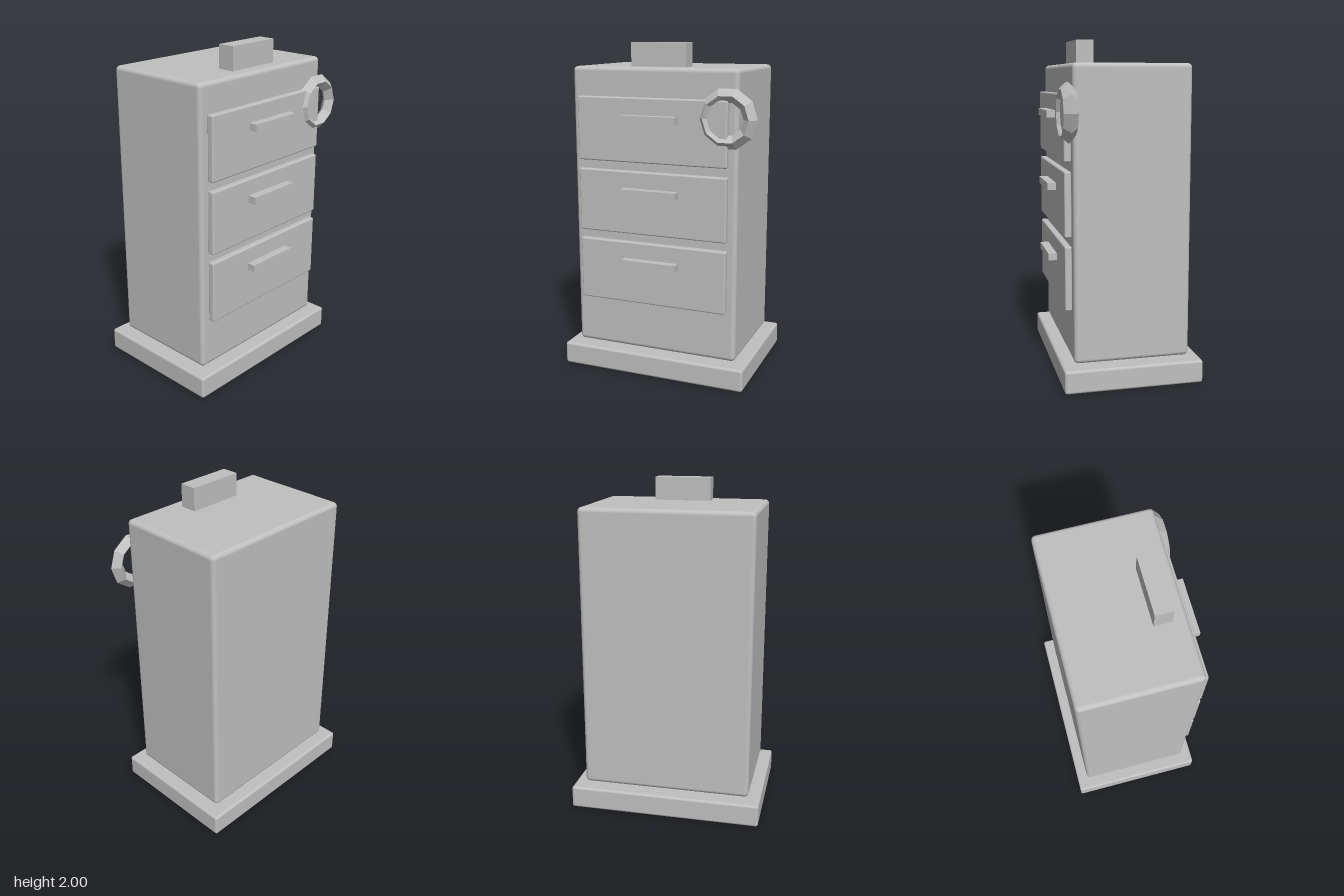
import * as THREE from 'three';
import { RoundedBoxGeometry } from 'three/addons/geometries/RoundedBoxGeometry.js';

export function createModel() {
  const group = new THREE.Group();
  group.name = 'drawerCabinet';
  const grey = new THREE.MeshStandardMaterial({ color: 0xc0c0c0 });
  grey.name = 'grey';

  // Box spanning two corners; a radius above zero rounds its edges
  function box(name, [x0, y0, z0], [x1, y1, z1], radius = 0) {
    const size = [x1 - x0, y1 - y0, z1 - z0];
    const geometry = radius
      ? new RoundedBoxGeometry(...size, 3, radius)
      : new THREE.BoxGeometry(...size);
    const mesh = new THREE.Mesh(geometry, grey);
    mesh.name = name;
    mesh.position.set((x0 + x1) / 2, (y0 + y1) / 2, (z0 + z1) / 2);
    group.add(mesh);
  }

  // Plinth, cabinet and the block on top
  box('base', [-0.61, 0, -0.425], [0.557, 0.137, 0.4], 0.015);
  box('body', [-0.54, 0.15, -0.357], [0.487, 1.862, 0.331], 0.026);
  box('topBlock', [-0.197, 1.86, 0.143], [0.146, 2, 0.246]);

  // Three drawers, each with a bar handle
  [0.456, 0.885, 1.315].forEach((y, i) => {
    box(`drawer${i + 1}`, [-0.49, y, 0.333], [0.437, y + 0.377, 0.374], 0.009);
    box(`handle${i + 1}`, [-0.197, y + 0.235, 0.372], [0.146, y + 0.278, 0.425]);
  });

  // Faceted ring on the front, overhanging the left edge
  const ringGeometry = new THREE.TorusGeometry(0.134, 0.041, 4, 10).toNonIndexed();
  ringGeometry.computeVertexNormals();
  const ring = new THREE.Mesh(ringGeometry, grey);
  ring.name = 'ring';
  ring.position.set(0.43, 1.59, 0.353);
  group.add(ring);

  return group;
}
